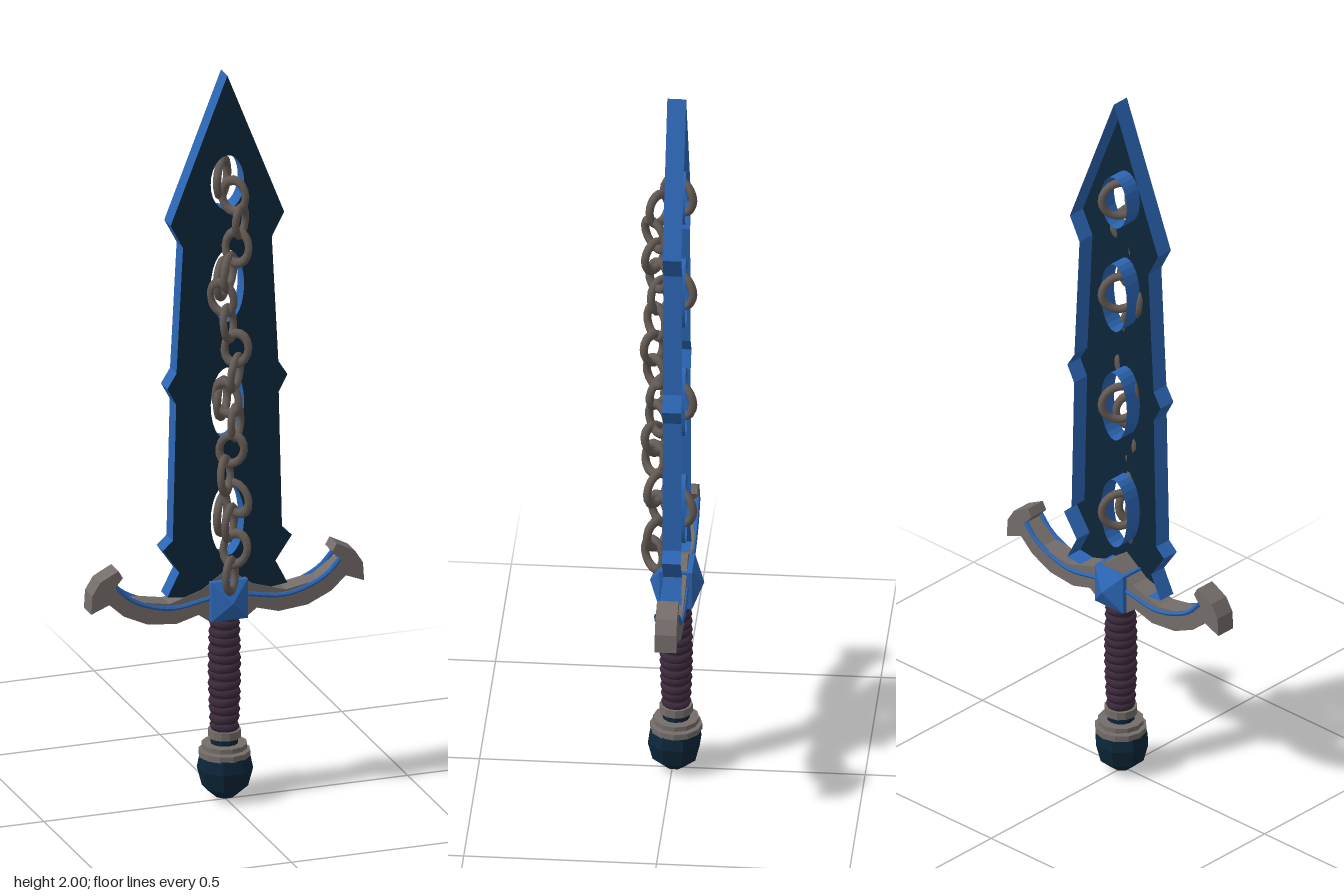
import * as THREE from 'three';

const mat = (name, color, side = THREE.FrontSide, flatShading = false) => {
  const m = new THREE.MeshStandardMaterial({ color, side, flatShading });
  m.name = name;
  return m;
};

const mirrored = (half) => [
  ...half,
  ...half.filter((p) => p[0] > 0).reverse().map(([x, y]) => [-x, y]),
];
const toShape = (pts) => new THREE.Shape(pts.map(([x, y]) => new THREE.Vector2(x, y)));

// Upright strip of wall following a closed outline between two depths
function wallGeometry(points, z0, z1) {
  const v = [];
  points.forEach((a, i) => {
    const b = points[(i + 1) % points.length];
    v.push(a.x, a.y, z0, b.x, b.y, z0, b.x, b.y, z1);
    v.push(a.x, a.y, z0, b.x, b.y, z1, a.x, a.y, z1);
  });
  const g = new THREE.BufferGeometry();
  g.setAttribute('position', new THREE.Float32BufferAttribute(v, 3));
  g.computeVertexNormals();
  return g;
}

export function createModel() {
  const model = new THREE.Group();
  model.name = 'sword';
  const navy = mat('navy', 0x0c2639, THREE.DoubleSide, true);
  const blue = mat('blue', 0x2c66b5, THREE.DoubleSide, true);
  const steel = mat('steel', 0x746d6a, THREE.FrontSide, true);
  const iron = mat('iron', 0x645b55);
  const leather = mat('leather', 0x3b2a3c);

  const add = (name, geometry, material, x = 0, y = 0, z = 0, parent = model) => {
    const m = new THREE.Mesh(geometry, material);
    m.name = name;
    m.position.set(x, y, z);
    parent.add(m);
    return m;
  };
  const AXIS = -0.01;

  // Blade: dark front plate with blue walls, hollow at the back
  const outline = mirrored([
    [0, 0.56], [0.165, 0.58], [0.132, 0.645], [0.177, 0.71], [0.15, 0.735],
    [0.141, 1.11], [0.165, 1.155], [0.14, 1.195], [0.122, 1.54], [0.156, 1.605], [0, 2],
  ]);
  const blade = toShape(outline);
  const holes = [[1.705, 0.075], [1.42, 0.1], [1.095, 0.1], [0.775, 0.1]];
  holes.forEach(([y, ry]) => {
    blade.holes.push(new THREE.Path().absellipse(0, y, 0.046, ry, 0, Math.PI * 2, true));
  });
  add('bladeFace', new THREE.ShapeGeometry(blade, 12), navy, 0, 0, 0.013);
  const cut = blade.extractPoints(12);
  add('bladeEdge', wallGeometry(cut.shape, -0.036, 0.013), blue);
  cut.holes.forEach((h) => {
    // drop the repeated closing point
    add('bladeHoleWall', wallGeometry(h.slice(0, -1), -0.036, 0.013), blue);
  });

  // Chain: rings through the holes and a slack run of oval links on the front
  const chain = new THREE.Group();
  chain.name = 'chain';
  model.add(chain);
  [1.71, 1.43, 1.1, 0.78].forEach((y) => {
    const ring = add('chainRing', new THREE.TorusGeometry(0.049, 0.011, 8, 20), iron, -0.004, y, -0.016, chain);
    ring.rotation.y = 0.95;
  });
  const linkX = [0.01, 0.025, 0.015, -0.005, -0.022, -0.008, 0.012, 0.012, -0.01,
    0.015, 0, -0.018, 0.015, 0, 0.012, -0.004];
  const linkGeo = new THREE.TorusGeometry(0.033, 0.0105, 8, 16).scale(1, 1.3, 1);
  linkX.forEach((x, i) => {
    const y = 1.675 - i * 0.0695;
    const nearHole = Math.min(...holes.map((h) => Math.abs(h[0] - y)));
    const z = 0.03 + Math.min(0.018, nearHole * 0.13);
    const link = add('chainLink', linkGeo, iron, x, y, z, chain);
    link.rotation.set(0.15 * Math.sin(i * 2.1), i % 2 ? 0.85 : -0.75, 0.4 * Math.sin(i * 1.7));
  });

  // Crossguard with hooked ends and a pointed centre
  const guard = toShape(mirrored([
    [0, 0.49], [0.05, 0.5], [0.08, 0.522], [0.14, 0.505], [0.22, 0.513], [0.285, 0.543],
    [0.325, 0.58], [0.375, 0.56], [0.372, 0.61], [0.35, 0.645], [0.3, 0.671],
    [0.288, 0.65], [0.312, 0.622], [0.25, 0.578], [0.16, 0.562], [0.07, 0.59], [0, 0.64],
  ]));
  add('crossguard', new THREE.ExtrudeGeometry(guard, { depth: 0.056, bevelEnabled: false }), steel, 0, 0, -0.041);

  // Blue inlay lines on both faces of the guard
  for (const side of [-1, 1]) {
    const curve = new THREE.CatmullRomCurve3([
      [0.308, 0.63], [0.275, 0.594], [0.22, 0.565], [0.15, 0.55], [0.05, 0.565],
    ].map(([x, y]) => new THREE.Vector3(x * side, y, 0)));
    for (const z of [0.016, -0.041]) {
      add('guardInlay', new THREE.TubeGeometry(curve, 14, 0.0065, 6), blue, 0, 0, z);
    }
  }

  // Square gem with a pyramid on each face
  add('gemBase', new THREE.BoxGeometry(0.1, 0.108, 0.085), blue, 0, 0.557, -0.0125);
  for (const s of [-1, 1]) {
    const point = new THREE.ConeGeometry(0.05 * Math.SQRT2, 0.028, 4, 1)
      .rotateY(Math.PI / 4).rotateX(s * Math.PI / 2).scale(1, 1.08, 1);
    add('gemPoint', point, blue, 0, 0.557, -0.0125 + s * 0.0565);
  }

  // Grip: core with slightly slanted leather wraps
  add('gripCore', new THREE.CylinderGeometry(0.036, 0.032, 0.33, 16), leather, 0, 0.345, AXIS);
  for (let i = 0; i < 13; i++) {
    const t = i / 12;
    const r = 0.03 + 0.004 * Math.sin(t * Math.PI) + 0.002 * t;
    const wrap = add('gripWrap', new THREE.TorusGeometry(r, 0.009, 6, 16).scale(1, 1, 1.4), leather, 0, 0.2 + t * 0.285, AXIS);
    wrap.rotation.set(Math.PI / 2, (i % 2 ? 1 : -1) * 0.08, 0);
  }

  // Collars between grip and pommel
  const collar = (name, r, h, y, m) => add(name, new THREE.CylinderGeometry(r, r, h, 12), m, 0, y, AXIS);
  collar('upperCollar', 0.043, 0.022, 0.18, steel);
  collar('pommelNeck', 0.036, 0.05, 0.153, navy);
  collar('middleCollar', 0.06, 0.013, 0.146, steel);
  collar('lowerCollar', 0.068, 0.016, 0.126, steel);

  // Faceted pommel
  const profile = [[0, 0], [0.028, 0.008], [0.06, 0.035], [0.073, 0.085], [0.066, 0.12], [0, 0.122]]
    .map(([r, y]) => new THREE.Vector2(r, y));
  add('pommel', new THREE.LatheGeometry(profile, 8), navy, 0, 0, AXIS + 0.004).rotation.y = Math.PI / 8;

  return model;
}
